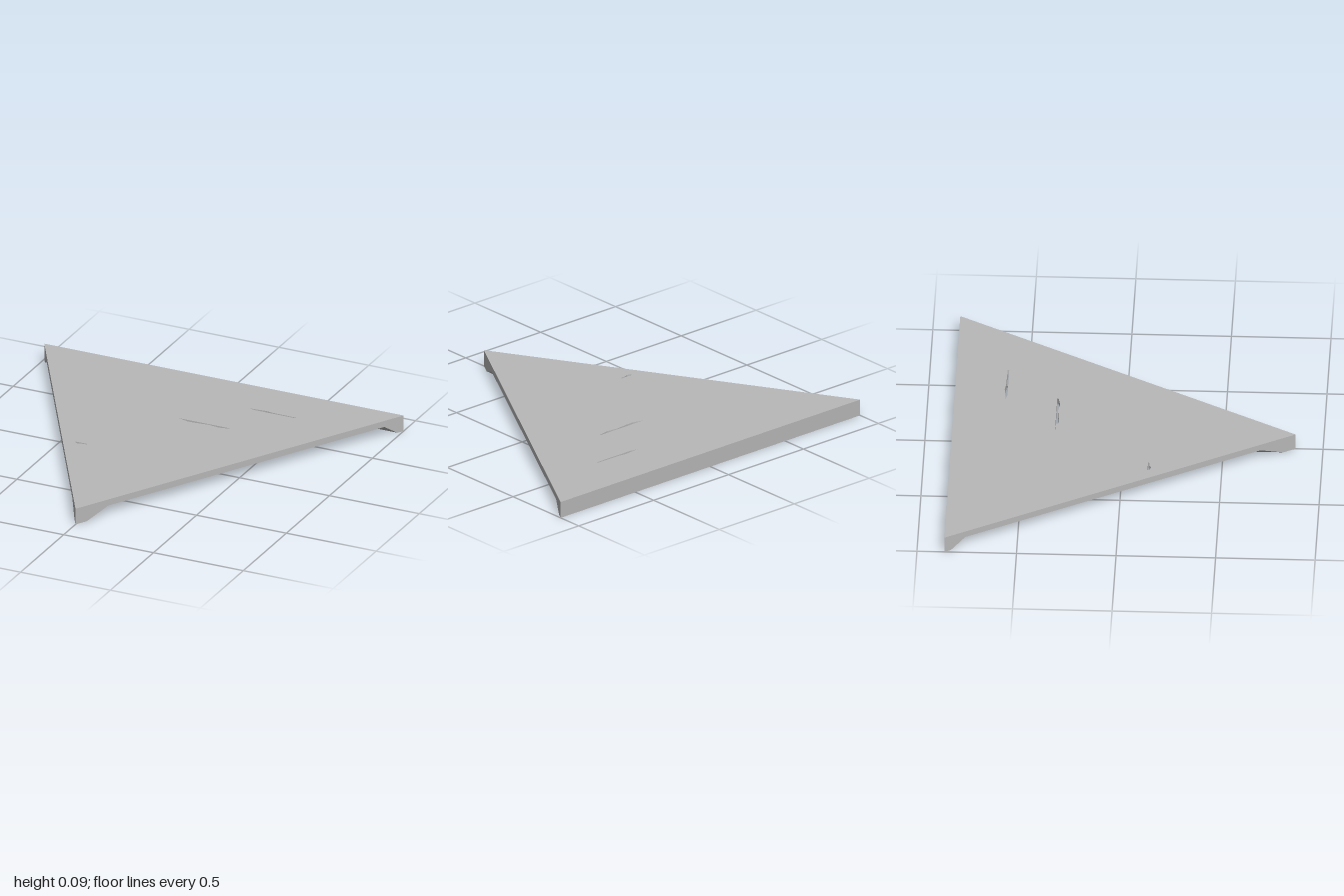
import * as THREE from 'three';
import { ConvexGeometry } from 'three/addons/geometries/ConvexGeometry.js';

const D = 0.862;        // half depth of the triangle
const UNDER = 0.053;    // underside of the plate
const TOP = 0.086;
const SLOPE = 2 * D;    // change of z per unit of x along the side edges

const edgeZ = x => D - SLOPE * Math.abs(x);
const edgeX = z => (D - z) / SLOPE;

// Surface spanned between two rows of points; indexed strips are smooth.
function strip(rowA, rowB, smooth) {
  const pos = [...rowA, ...rowB].flat();
  const n = rowA.length, index = [];
  for (let i = 0; i < n - 1; i++) index.push(i, i + 1, n + i, i + 1, n + i + 1, n + i);
  let g = new THREE.BufferGeometry();
  g.setAttribute('position', new THREE.Float32BufferAttribute(pos, 3));
  g.setIndex(index);
  if (!smooth) g = g.toNonIndexed();
  g.computeVertexNormals();
  return g;
}

export function createModel() {
  const model = new THREE.Group();
  const grey = new THREE.MeshStandardMaterial({ color: 0xb8b8b8 });
  grey.name = 'grey';
  const add = (name, geometry, parent = model) => {
    const mesh = new THREE.Mesh(geometry, grey);
    mesh.name = name;
    parent.add(mesh);
  };

  // Triangular plate with three cracks, given as [x, z]
  const points = list => list.map(([x, z]) => new THREE.Vector2(x, -z));
  const cracks = [
    [[0.26, -0.605], [0.35, -0.613], [0.39, -0.607], [0.525, -0.605], [0.525, -0.597], [0.3, -0.597]],
    [[-0.005, -0.346], [0.283, -0.346], [0.275, -0.339], [0.225, -0.33], [0.166, -0.338], [0.085, -0.33], [0.05, -0.33]],
    [[-0.35, 0.132], [-0.28, 0.132], [-0.285, 0.14], [-0.31, 0.141], [-0.33, 0.149], [-0.345, 0.142]],
  ];
  const outline = new THREE.Shape(points([[-1, -D], [0, D], [1, -D]]));
  outline.holes = cracks.map(c => new THREE.Path(points(c)));
  const plate = new THREE.ExtrudeGeometry(outline, { depth: TOP - UNDER, bevelEnabled: false });
  plate.rotateX(-Math.PI / 2).translate(0, UNDER, 0);
  add('plate', plate);

  // Ridge below the back edge, sloping on its inner side
  const ridge = [];
  for (const [y, z] of [[UNDER, -D], [UNDER, -0.76], [0, -D], [0, -0.83]])
    for (const s of [-1, 1]) ridge.push(new THREE.Vector3(s * edgeX(z), y, z));
  add('backRidge', new ConvexGeometry(ridge));

  // Beam from the front tip to the back ridge
  const beam = new THREE.Group();
  beam.name = 'centreBeam';
  model.add(beam);
  const profile = [[-0.1, UNDER], [-0.035, 0], [0, 0], [0.035, 0], [0.1, UNDER]];
  const front = profile.map(([x, y]) => [x, y, edgeZ(x)]);
  const back = profile.map(([x, y]) => [x, y, -D + 0.01]);
  const frontTop = profile.map(([x]) => [x, UNDER, edgeZ(x)]);
  const backTop = profile.map(([x]) => [x, UNDER, -D + 0.01]);
  add('beamUnderside', strip(back, front, true), beam);
  add('beamTip', strip(front, frontTop, false), beam);
  add('beamTop', strip(frontTop, backTop, false), beam);
  return model;
}
